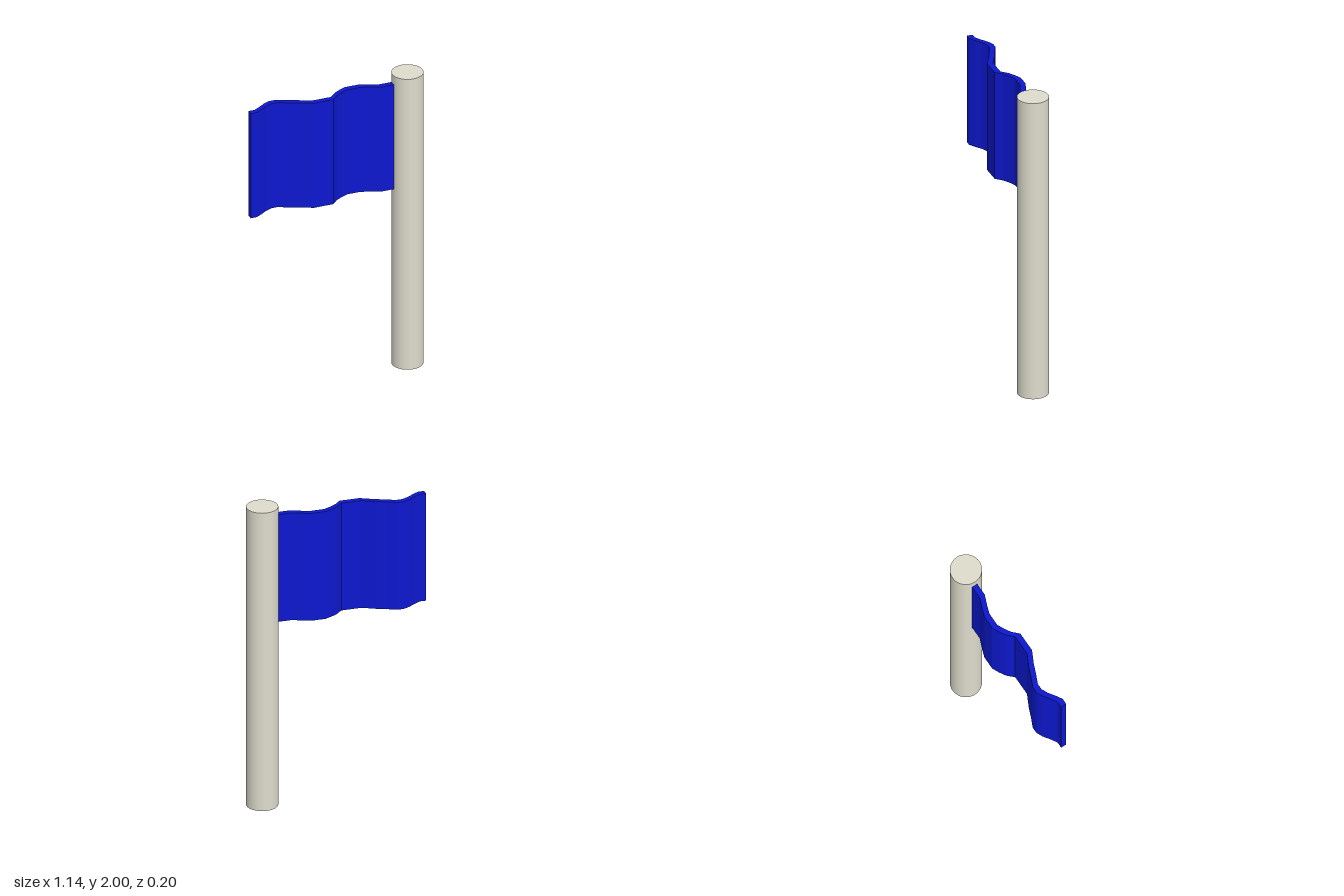
import * as THREE from 'three';

const POLE_X = 0.47, POLE_R = 0.098, POLE_H = 2;
const FLAG_BOTTOM = 1.22, FLAG_TOP = 1.94, CLOTH = 0.037;

// Centre line of the rippling cloth seen from above: [x, z]
const RIPPLE = [
  [-0.573, 0.019], [-0.533, 0.019], [-0.49, -0.007], [-0.452, -0.034],
  [-0.41, -0.053], [-0.37, -0.053], [-0.31, -0.026], [-0.25, -0.002],
  [-0.168, 0.039], [-0.04, 0.039], [0, -0.001], [0.04, -0.025],
  [0.085, -0.046], [0.17, -0.046], [0.22, -0.029], [0.29, -0.001], [0.385, -0.001],
];

export function createModel() {
  const model = new THREE.Group();
  model.name = 'flagOnPole';

  // Round pole
  const pole = new THREE.Mesh(
    new THREE.CylinderGeometry(POLE_R, POLE_R, POLE_H, 40),
    new THREE.MeshStandardMaterial({ color: 0xdedccc }),
  );
  pole.name = 'pole';
  pole.position.set(POLE_X, POLE_H / 2, 0);
  model.add(pole);

  // Cloth: the ripple line thickened to a closed outline, then raised to full height
  const half = CLOTH / 2;
  const front = RIPPLE.map(([x, z]) => new THREE.Vector2(x, -z - half));
  const back = RIPPLE.map(([x, z]) => new THREE.Vector2(x, -z + half)).reverse();
  const geometry = new THREE.ExtrudeGeometry(new THREE.Shape([...front, ...back]), {
    depth: FLAG_TOP - FLAG_BOTTOM, bevelEnabled: false,
  });
  geometry.rotateX(-Math.PI / 2);
  const flag = new THREE.Mesh(
    geometry,
    new THREE.MeshStandardMaterial({ color: 0x0d18d0, flatShading: true }),
  );
  flag.name = 'flag';
  flag.position.y = FLAG_BOTTOM;
  model.add(flag);

  return model;
}
